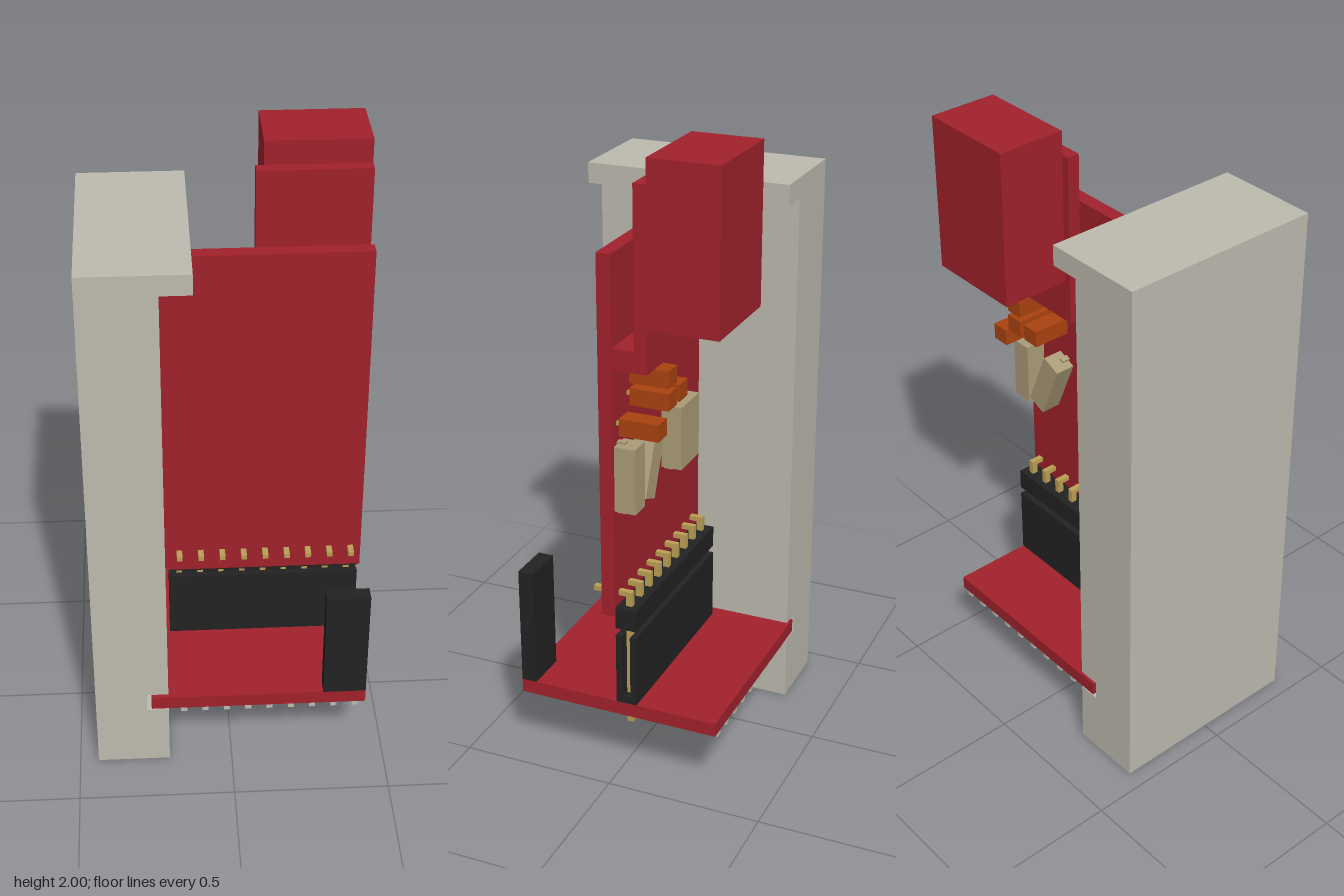
import * as THREE from 'three';

export function createModel() {
  const model = new THREE.Group();
  const material = (name, color) => {
    const m = new THREE.MeshStandardMaterial({ color });
    m.name = name;
    return m;
  };
  const grey = material('warm grey', 0xbdbaae);
  const red = material('board red', 0xa1212c);
  const black = material('plastic black', 0x222222);
  const gold = material('pin gold', 0xbb9f54);
  const tan = material('component tan', 0xab9c78);
  const orange = material('component orange', 0xaa4210);

  const addGroup = (name, parent = model) => {
    const g = new THREE.Group();
    g.name = name;
    parent.add(g);
    return g;
  };
  // Box given by its limits along each axis
  const box = (name, mat, [x0, x1], [y0, y1], [z0, z1], parent = model) => {
    const mesh = new THREE.Mesh(new THREE.BoxGeometry(x1 - x0, y1 - y0, z1 - z0), mat);
    mesh.position.set((x0 + x1) / 2, (y0 + y1) / 2, (z0 + z1) / 2);
    mesh.name = name;
    parent.add(mesh);
    return mesh;
  };

  // Side rail: one profile with a lip and a slot, its middle slice recessed as a groove
  const rail = addGroup('sideRail');
  const railSlice = (name, z0, z1, inner) => {
    const shape = new THREE.Shape([
      [-0.44, 0], [-0.205, 0], [-0.205, 0.215], [-0.275, 0.215], [-0.275, 0.28],
      [inner, 0.28], [inner, 1.745], [-0.11, 1.745], [-0.11, 1.81], [-0.44, 1.81],
    ].map(([x, y]) => new THREE.Vector2(x, y)));
    const geo = new THREE.ExtrudeGeometry(shape, { depth: z1 - z0, bevelEnabled: false });
    geo.translate(0, 0, z0);
    const mesh = new THREE.Mesh(geo, grey);
    mesh.name = name;
    rail.add(mesh);
  };
  railSlice('railFront', 0.05, 0.33, -0.205);
  railSlice('railGroove', -0.005, 0.05, -0.27);
  railSlice('railBack', -0.33, -0.005, -0.205);

  // Circuit boards
  box('baseBoard', red, [-0.26, 0.435], [0.22, 0.265], [-0.33, 0.33]);
  box('uprightBoard', red, [-0.26, 0.435], [0.565, 1.715], [0, 0.045]);

  // Connector housing behind the upright board
  const housing = addGroup('rearConnector');
  box('connectorShelf', red, [0.09, 0.435], [1.37, 1.435], [-0.07, 0], housing);
  box('connectorPlate', red, [0.09, 0.435], [1.37, 1.925], [-0.11, -0.07], housing);
  box('connectorBody', red, [0.115, 0.435], [1.505, 2], [-0.33, -0.11], housing);

  // Socket with an open channel, and the pin header above it
  const socketX = [-0.19, 0.435];
  const socket = addGroup('socket');
  box('socketFrontWall', black, socketX, [0.265, 0.5], [-0.02, 0], socket);
  box('socketBackWall', black, socketX, [0.265, 0.5], [-0.067, -0.047], socket);
  box('socketFloor', black, socketX, [0.265, 0.29], [-0.047, -0.02], socket);
  box('socketEnd', black, [-0.19, -0.175], [0.29, 0.5], [-0.047, -0.02], socket);
  box('headerStrip', black, socketX, [0.525, 0.595], [-0.067, 0]);
  box('cornerPost', black, [0.297, 0.435], [0.265, 0.65], [0.28, 0.33]);

  // Angled pins, their tails, and the tracks under the base board
  const pins = addGroup('pins');
  const tracks = addGroup('tracks');
  for (let i = 0; i < 9; i++) {
    const x = -0.155 + i * 0.0695;
    const width = [x - 0.009, x + 0.009];
    box('pinUpright', gold, width, [0.29, 0.643], [-0.045, -0.025], pins);
    box('pinArm', gold, width, [0.627, 0.643], [-0.025, 0.083], pins);
    box('pinTail', gold, width, [0.185, 0.22], [-0.045, -0.025], pins);
    box('track', grey, [x - 0.01, x + 0.01], [0.205, 0.22], [-0.33, 0.33], tracks);
  }

  // Tan components with small tabs at both ends
  const component = (name, x, w, tilt, tabs) => {
    const g = addGroup(name);
    g.position.set(x, 1.018, 0);
    g.rotation.z = tilt;
    box('componentBody', tan, [-w / 2, w / 2], [-0.097, 0.112], [-0.07, -0.003], g);
    for (const t of tabs) {
      box('componentTab', tan, [t - 0.009, t + 0.009], [-0.113, 0.119], [-0.028, 0], g);
    }
  };
  component('wideComponent', 0.02, 0.14, 0, [-0.035, 0.035]);
  component('tiltedComponent', 0.29, 0.07, 0.4, [0]);
  component('edgeComponent', 0.4, 0.07, 0, [0]);

  // Staggered orange blocks on short leads
  const blocks = addGroup('orangeBlocks');
  for (const [x, y] of [[0.405, 1.195], [0.33, 1.263], [0.25, 1.263], [0.33, 1.333]]) {
    box('orangeBlock', orange, [x - 0.03, x + 0.03], [y - 0.027, y + 0.027], [-0.145, -0.02], blocks);
    box('blockLead', gold, [x - 0.006, x + 0.006], [y - 0.006, y + 0.006], [-0.02, 0], blocks);
  }
  return model;
}
